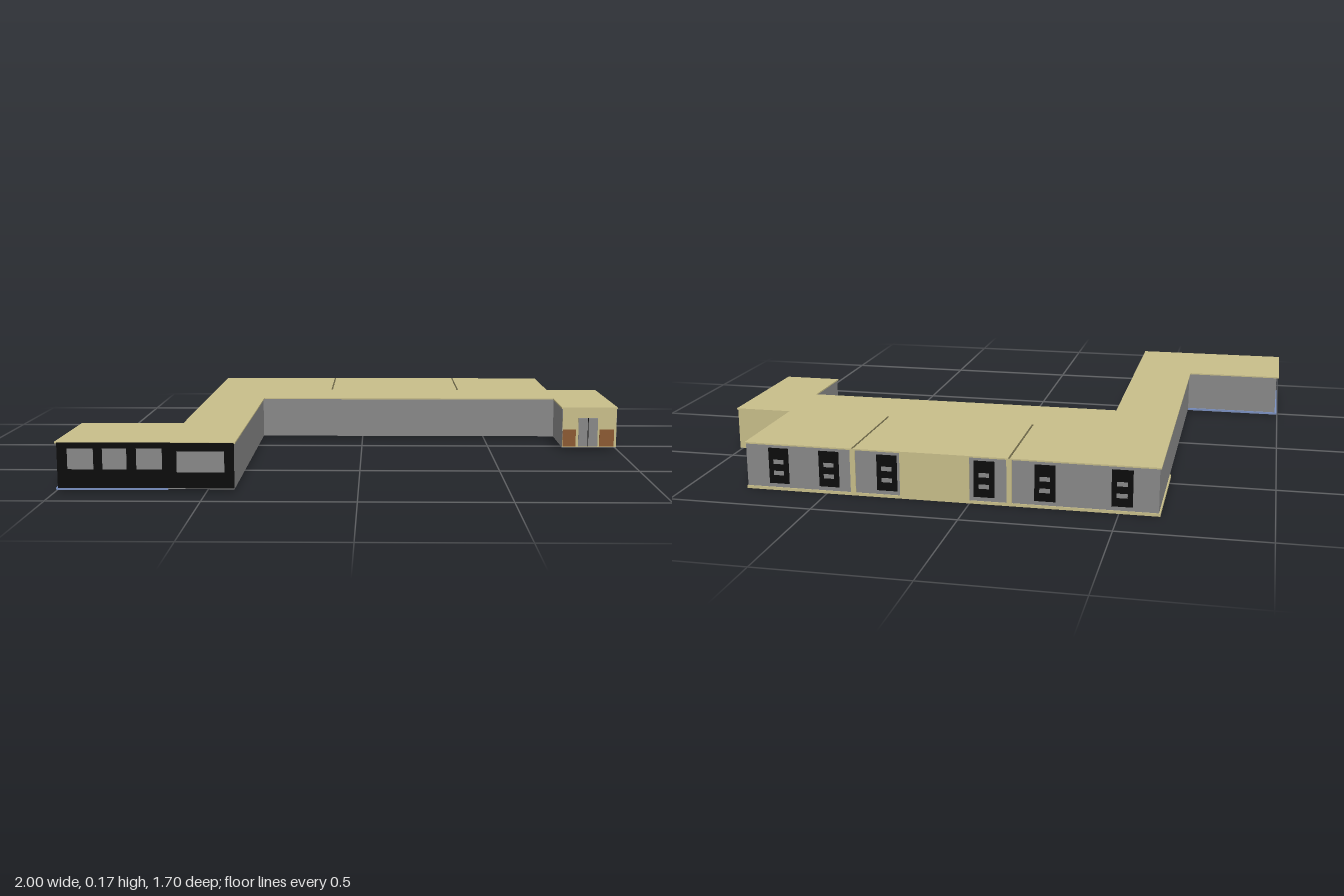
import * as THREE from 'three';

export function createModel() {
  const model = new THREE.Group();
  model.name = 'building';
  const mat = (name, color) => {
    const m = new THREE.MeshStandardMaterial({ color });
    m.name = name;
    return m;
  };
  const tan = mat('tan plaster', 0xc8be8a);
  const gray = mat('gray wall', 0x888888);
  const black = mat('black frame', 0x0c0c0c);
  const brick = mat('brick', 0x8b5a33);
  const blue = mat('blue floor', 0x7a90c0);
  const seam = mat('roof seam', 0x6b6546);

  // Box given by its limits on each axis
  const block = (name, material, [x0, x1], [y0, y1], [z0, z1], parent = model) => {
    const mesh = new THREE.Mesh(new THREE.BoxGeometry(x1 - x0, y1 - y0, z1 - z0), material);
    mesh.position.set((x0 + x1) / 2, (y0 + y1) / 2, (z0 + z1) / 2);
    mesh.name = name;
    parent.add(mesh);
    return mesh;
  };

  // Flat plan of [x, z] corners raised from y0 to y1
  const slab = (name, material, plan, y0, y1) => {
    const shape = new THREE.Shape(plan.map(([x, z]) => new THREE.Vector2(x, -z)));
    const geo = new THREE.ExtrudeGeometry(shape, { depth: y1 - y0, bevelEnabled: false });
    geo.rotateX(-Math.PI / 2).translate(0, y0, 0);
    const mesh = new THREE.Mesh(geo, material);
    mesh.name = name;
    model.add(mesh);
  };

  // Corridors and classrooms
  const hall = [[-0.63, -0.43], [0.997, -0.43], [0.997, 0.068], [0.785, 0.068],
    [0.785, -0.183], [-0.408, -0.183], [-0.408, 0.855], [-0.63, 0.855]];
  slab('hallWalls', gray, hall, 0.008, 0.162);
  block('classroomWalls', gray, [-0.63, 0.787], [0.01, 0.162], [-0.838, -0.43]);
  block('classroomFloor', tan, [-0.635, 0.79], [0, 0.01], [-0.842, -0.43]);
  block('eastWingBackWall', tan, [0.787, 0.997], [0.01, 0.162], [-0.434, -0.43]);

  // Front room on a blue floor
  block('roomWalls', gray, [-0.99, -0.63], [0.012, 0.162], [0.476, 0.855]);
  block('roomFloor', blue, [-0.998, -0.628], [0.005, 0.013], [0.47, 0.858]);

  // Roof over the whole plan
  slab('roof', tan, [[-0.635, -0.843], [0.79, -0.843], [0.79, -0.438], [1, -0.438],
    [1, 0.072], [0.782, 0.072], [0.782, -0.18], [-0.404, -0.18], [-0.404, 0.857],
    [-1, 0.857], [-1, 0.47], [-0.635, 0.47]], 0.161, 0.166);
  for (const x of [0.405, -0.135]) {
    block('roofSeam', seam, [x - 0.003, x + 0.003], [0.1655, 0.167], [-0.842, -0.435]);
  }

  // Black shop front with gray panes
  const front = new THREE.Group();
  front.name = 'windowFront';
  model.add(front);
  block('frontPanel', black, [-0.992, -0.408], [0.012, 0.164], [0.855, 0.859], front);
  const panes = [[-0.958, -0.872, 0.075, 0.145], [-0.842, -0.762, 0.075, 0.145],
    [-0.73, -0.645, 0.075, 0.145], [-0.597, -0.44, 0.065, 0.135]];
  for (const [x0, x1, y0, y1] of panes) {
    block('frontPane', gray, [x0, x1], [y0, y1], [0.858, 0.86], front);
  }

  // Entrance on the east wing
  const entry = new THREE.Group();
  entry.name = 'entrance';
  model.add(entry);
  block('entranceWall', tan, [0.786, 0.996], [0.01, 0.162], [0.067, 0.07], entry);
  for (const [x0, x1] of [[0.787, 0.838], [0.93, 0.987]]) {
    block('brickBase', brick, [x0, x1], [0.012, 0.08], [0.069, 0.072], entry);
  }
  for (const [x0, x1] of [[0.848, 0.884], [0.887, 0.923]]) {
    block('doorLeaf', gray, [x0, x1], [0.013, 0.124], [0.069, 0.073], entry);
  }
  block('doorGap', black, [0.884, 0.887], [0.013, 0.124], [0.069, 0.072], entry);

  // Back wall: tan panel, partition ends and tall windows
  block('backPanel', tan, [0, 0.24], [0.01, 0.162], [-0.842, -0.838]);
  for (const x of [0.405, -0.135]) {
    block('partitionEnd', tan, [x - 0.009, x + 0.009], [0.01, 0.162], [-0.842, -0.838]);
  }
  for (const x of [0.67, 0.49, 0.285, -0.05, -0.255, -0.51]) {
    const win = new THREE.Group();
    win.name = 'backWindow';
    model.add(win);
    block('windowFrame', black, [x - 0.035, x + 0.035], [0.025, 0.15], [-0.843, -0.838], win);
    for (const y of [0.055, 0.095]) {
      block('windowPane', gray, [x - 0.018, x + 0.018], [y, y + 0.015], [-0.8445, -0.842], win);
    }
  }

  return model;
}
